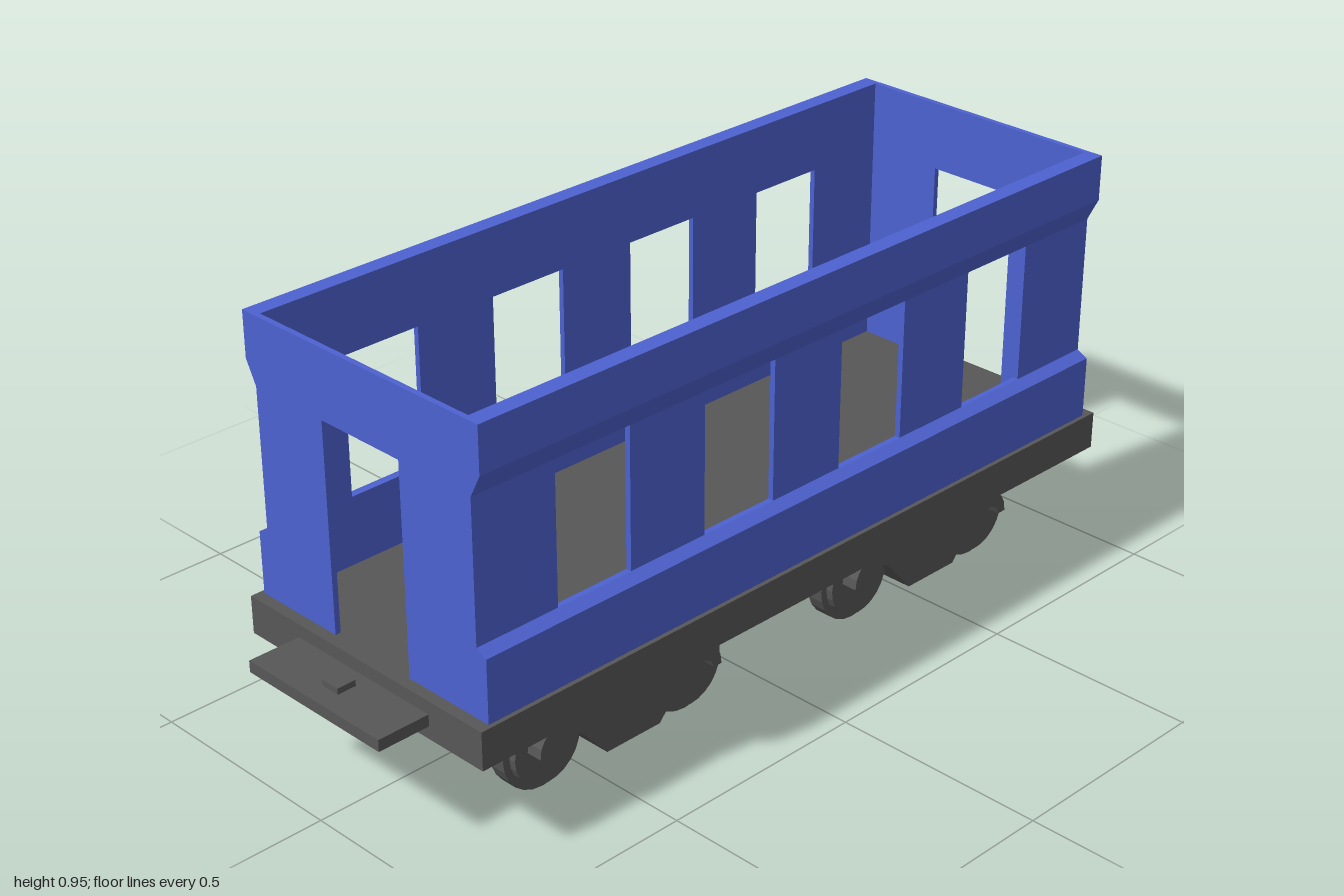
import * as THREE from 'three';

const BLUE = new THREE.MeshStandardMaterial({ color: 0x4d62d0, flatShading: true });
const DARK = new THREE.MeshStandardMaterial({ color: 0x575757, flatShading: true });

function add(parent, name, geometry, material) {
  const mesh = new THREE.Mesh(geometry, material);
  mesh.name = name;
  parent.add(mesh);
  return mesh;
}

// Box given by its limits on each axis
function box(x0, x1, y0, y1, z0, z1) {
  return new THREE.BoxGeometry(x1 - x0, y1 - y0, z1 - z0)
    .translate((x0 + x1) / 2, (y0 + y1) / 2, (z0 + z1) / 2);
}

// Polygon in x/y, extruded from z0 to z1
function prism(points, z0, z1) {
  const shape = new THREE.Shape(points.map(([x, y]) => new THREE.Vector2(x, y)));
  return new THREE.ExtrudeGeometry(shape, { depth: z1 - z0, bevelEnabled: false }).translate(0, 0, z0);
}

const mirrorX = (points) => points.map(([x, y]) => [-x, y]).reverse();

// Main levels and limits
const FLOOR = 0.316, SILL = 0.475, LINTEL = 0.797, TOP = 0.955;
const WIDE = 0.345, NARROW = 0.318, INNER = 0.305;
const BACK = -0.972, FRONT = 0.848, WALL = 0.013;
const OFFSET = 0.008; // running gear sits slightly to the left
const WINDOWS = [[-0.755, -0.56], [-0.355, -0.16], [0.04, 0.24], [0.445, 0.64]];

function createBody() {
  const body = new THREE.Group();
  body.name = 'body';
  const z0 = BACK + WALL, z1 = FRONT - WALL;

  // Side walls: lower panel, upper panel and pillars between the windows
  const lower = [[INNER, FLOOR], [WIDE, FLOOR], [WIDE, 0.461], [NARROW, SILL], [INNER, SILL]];
  const upper = [[INNER, LINTEL], [NARROW, LINTEL], [WIDE, 0.85], [WIDE, TOP], [INNER, TOP]];
  const edges = [z0, ...WINDOWS.flat(), z1];
  for (const side of [1, -1]) {
    const wall = new THREE.Group();
    wall.name = side > 0 ? 'leftWall' : 'rightWall';
    body.add(wall);
    add(wall, 'lowerPanel', prism(side > 0 ? lower : mirrorX(lower), z0, z1), BLUE);
    add(wall, 'upperPanel', prism(side > 0 ? upper : mirrorX(upper), z0, z1), BLUE);
    for (let i = 0; i < edges.length; i += 2) {
      const xs = side > 0 ? [INNER, NARROW] : [-NARROW, -INNER];
      add(wall, 'pillar', box(...xs, SILL, LINTEL, edges[i], edges[i + 1]), BLUE);
    }
  }

  // End walls with a doorway
  const half = [[0.114, LINTEL], [0.114, FLOOR], [WIDE, FLOOR], [WIDE, 0.461],
    [NARROW, SILL], [NARROW, LINTEL], [WIDE, 0.85], [WIDE, TOP]];
  const outline = [...half, ...mirrorX(half)];
  add(body, 'frontWall', prism(outline, z1, FRONT), BLUE);
  add(body, 'backWall', prism(outline, BACK, z0), BLUE);
  return body;
}

function createCoupler() {
  const coupler = new THREE.Group();
  coupler.name = 'coupler';
  add(coupler, 'couplerPlate', box(-0.2, 0.2, 0.258, 0.285, 0.875, 1), DARK);
  add(coupler, 'pinStem', box(OFFSET - 0.014, OFFSET + 0.014, 0.216, 0.294, 0.925, 0.952), DARK);
  add(coupler, 'pinHead', box(OFFSET - 0.023, OFFSET + 0.023, 0.292, 0.306, 0.916, 0.961), DARK);
  return coupler;
}

// Wheel with a raised centre rim, axle along x
function createWheel() {
  const profile = [[0, -0.037], [0.088, -0.037], [0.088, -0.02], [0.105, -0.02],
    [0.105, 0.02], [0.088, 0.02], [0.088, 0.037], [0, 0.037]];
  const points = profile.map(([r, h]) => new THREE.Vector2(r, h));
  return new THREE.LatheGeometry(points, 24).rotateZ(Math.PI / 2);
}

function createTruck() {
  const truck = new THREE.Group();
  truck.name = 'truck';

  // Side frame with arms hooking over the axles
  const half = [[0.075, 0.046], [0.14, 0.12], [0.16, 0.137], [0.21, 0.139], [0.226, 0.13], [0.235, 0.112],
    [0.257, 0.112], [0.254, 0.135], [0.244, 0.153], [0.231, 0.165], [0.212, 0.169]];
  const frame = prism([...half, ...mirrorX(half)], -0.075, 0.075).rotateY(-Math.PI / 2);
  add(truck, 'truckFrame', frame, DARK);
  add(truck, 'truckPost', box(-0.024, 0.024, 0.165, 0.23, -0.036, 0.014), DARK);
  for (const z of [-0.203, 0.203]) {
    add(truck, 'wheel', createWheel(), DARK).position.set(0, 0.105, z);
  }
  return truck;
}

export function createModel() {
  const model = new THREE.Group();
  model.name = 'railwayCarriage';
  add(model, 'deck', box(-0.355, 0.355, 0.228, FLOOR, -1, 0.875), DARK);
  model.add(createBody(), createCoupler());

  // Four trucks; the posts lean toward the middle of the deck
  for (const x of [-0.194, 0.194]) {
    for (const z of [0.402, -0.533]) {
      const truck = createTruck();
      truck.position.set(x + OFFSET, 0, z);
      if (z < 0) truck.getObjectByName('truckPost').position.z = 0.028;
      model.add(truck);
    }
  }
  return model;
}
